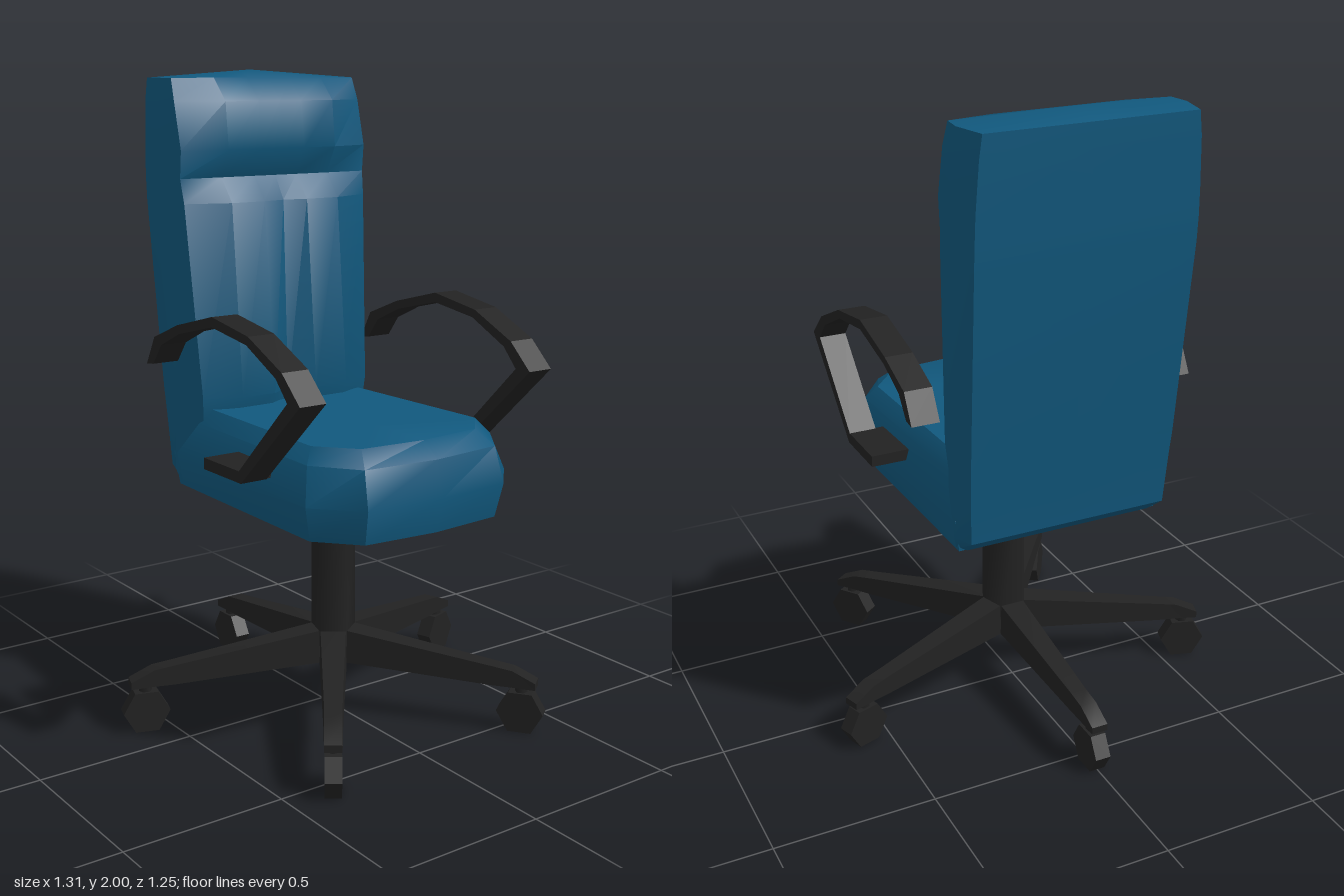
import * as THREE from 'three';
import { toCreasedNormals } from 'three/addons/utils/BufferGeometryUtils.js';

const blue = new THREE.MeshStandardMaterial({ color: 0x11587d });
const black = new THREE.MeshStandardMaterial({ color: 0x222222 });

function part(name, geometry, material, parent) {
  const mesh = new THREE.Mesh(geometry, material);
  mesh.name = name;
  parent.add(mesh);
  return mesh;
}

// Skin closed rings of [x, y, z] points and close both ends with fans.
function loft(rings, crease, topCentre) {
  const n = rings[0].length, pos = rings.flat(2), index = [];
  const mean = (r) => [0, 1, 2].map((k) => r.reduce((s, p) => s + p[k], 0) / n);
  const last = (rings.length - 1) * n, bottom = rings.length * n, top = bottom + 1;
  pos.push(...mean(rings[0]), ...(topCentre || mean(rings[rings.length - 1])));
  for (let j = 0; j < n; j++) {
    const k = (j + 1) % n;
    for (let i = 0; i < last; i += n) {
      index.push(i + j, i + k, i + n + k, i + j, i + n + k, i + n + j);
    }
    index.push(k, j, bottom, last + j, last + k, top);
  }
  const g = new THREE.BufferGeometry();
  g.setAttribute('position', new THREE.Float32BufferAttribute(pos, 3));
  g.setIndex(index);
  return toCreasedNormals(g, crease);
}

// Horizontal ring from half an outline [x, z], front centre first.
function mirroredRing(y, half) {
  const other = half.filter(([x]) => x > 0).reverse().map(([x, z]) => [-x, z]);
  return [...half, ...other].map(([x, z]) => [x, y, z]);
}

export function createModel() {
  const chair = new THREE.Group();
  chair.name = 'officeChair';

  // Seat cushion, widest at mid height
  const seatRings = [
    mirroredRing(0.705, [[0, 0.56], [0.24, 0.54], [0.345, 0.42], [0.33, -0.32]]),
    mirroredRing(0.81, [[0, 0.585], [0.25, 0.565], [0.37, 0.435], [0.345, -0.33]]),
    mirroredRing(0.92, [[0, 0.56], [0.24, 0.535], [0.34, 0.4], [0.315, -0.25]]),
    mirroredRing(0.965, [[0, 0.5], [0.21, 0.48], [0.305, 0.37], [0.285, -0.2]]),
  ];
  part('seat', loft(seatRings, 0.65), blue, chair);

  // Backrest: y, half width, z of back, side ridge, panel edge, bulge, centre, panel half width
  const backRows = [
    [0.705, 0.33, -0.325, -0.3, -0.27, -0.25, -0.25, 0.31],
    [0.755, 0.345, -0.385, -0.32, -0.25, -0.22, -0.22, 0.32],
    [0.92, 0.352, -0.4, -0.3, -0.205, -0.18, -0.195, 0.31],
    [1.0, 0.355, -0.41, -0.31, -0.195, -0.145, -0.19, 0.315],
    [1.6, 0.367, -0.47, -0.35, -0.245, -0.195, -0.21, 0.34],
    [1.675, 0.367, -0.475, -0.355, -0.258, -0.255, -0.255, 0.345],
    [1.76, 0.365, -0.478, -0.36, -0.25, -0.21, -0.21, 0.345],
    [1.905, 0.357, -0.485, -0.37, -0.285, -0.225, -0.225, 0.345],
    [1.975, 0.348, -0.487, -0.38, -0.31, -0.29, -0.29, 0.34],
  ];
  const backRings = backRows.map(([y, w, zBack, zSide, zEdge, zBulge, zMid, xEdge]) =>
    mirroredRing(y, [[0, zMid], [0.08, zBulge], [0.2, zBulge], [xEdge, zEdge],
      [w, zSide], [w - 0.025, zBack], [0, zBack]]));
  part('backrest', loft(backRings, 0.65, [0, 2, -0.4]), blue, chair);

  // Armrest loop, outlined as [z, y] and extruded sideways
  const armOutline = [
    [-0.29, 1.115], [-0.24, 1.205], [-0.1, 1.26], [0.095, 1.31], [0.285, 1.28],
    [0.45, 1.205], [0.535, 1.125], [0.24, 0.85], [0.04, 0.85], [0.04, 0.885],
    [0.23, 0.885], [0.475, 1.125], [0.42, 1.185], [0.275, 1.255], [0.095, 1.28],
    [-0.09, 1.235], [-0.2, 1.185], [-0.25, 1.12],
  ];
  const armShape = new THREE.Shape(armOutline.map((p) => new THREE.Vector2(...p)));
  for (const side of [1, -1]) {
    const arm = new THREE.Group();
    arm.name = side > 0 ? 'leftArmrest' : 'rightArmrest';
    const loop = new THREE.ExtrudeGeometry(armShape, { depth: 0.087, bevelEnabled: false });
    loop.rotateY(-Math.PI / 2).translate(0.0435, 0, 0);
    part('armLoop', loop, black, arm).position.x = side * 0.4135;
    // Bracket that joins the loop to the seat
    const bracket = part('armBracket', new THREE.BoxGeometry(0.06, 0.035, 0.195), black, arm);
    bracket.position.set(side * 0.355, 0.8675, 0.1375);
    chair.add(arm);
  }

  // Five-sided column and star base
  const base = new THREE.Group();
  base.name = 'base';
  base.position.z = 0.059;
  chair.add(base);
  const column = toCreasedNormals(new THREE.CylinderGeometry(0.073, 0.073, 0.5, 5), 1.3);
  part('column', column, black, base).position.y = 0.47;

  // Leg sections: distance, top half width, bottom half width, top y, bottom y
  const legRows = [
    [0, 0.001, 0.001, 0.27, 0.165], [0.059, 0.04, 0.043, 0.27, 0.165],
    [0.52, 0.026, 0.028, 0.207, 0.145], [0.585, 0.026, 0.027, 0.198, 0.145],
    [0.657, 0.026, 0.026, 0.165, 0.143],
  ];
  const legGeometry = loft(legRows.map(([r, a, b, top, low]) =>
    [[a, top, r], [-a, top, r], [-b, low, r], [b, low, r]]), 0.3);
  const wheelGeometry = toCreasedNormals(new THREE.CylinderGeometry(0.073, 0.073, 0.05, 6), 0.3);
  wheelGeometry.rotateZ(Math.PI / 2);
  for (let i = 0; i < 5; i++) {
    const leg = new THREE.Group();
    leg.name = 'baseLeg';
    leg.rotation.y = Math.PI + (i * 2 * Math.PI) / 5;
    part('legBeam', legGeometry, black, leg);
    part('casterStem', new THREE.CylinderGeometry(0.02, 0.02, 0.05, 6), black, leg)
      .position.set(0, 0.13, 0.61);
    part('casterWheel', wheelGeometry, black, leg).position.set(0, 0.0635, 0.61);
    base.add(leg);
  }
  return chair;
}
